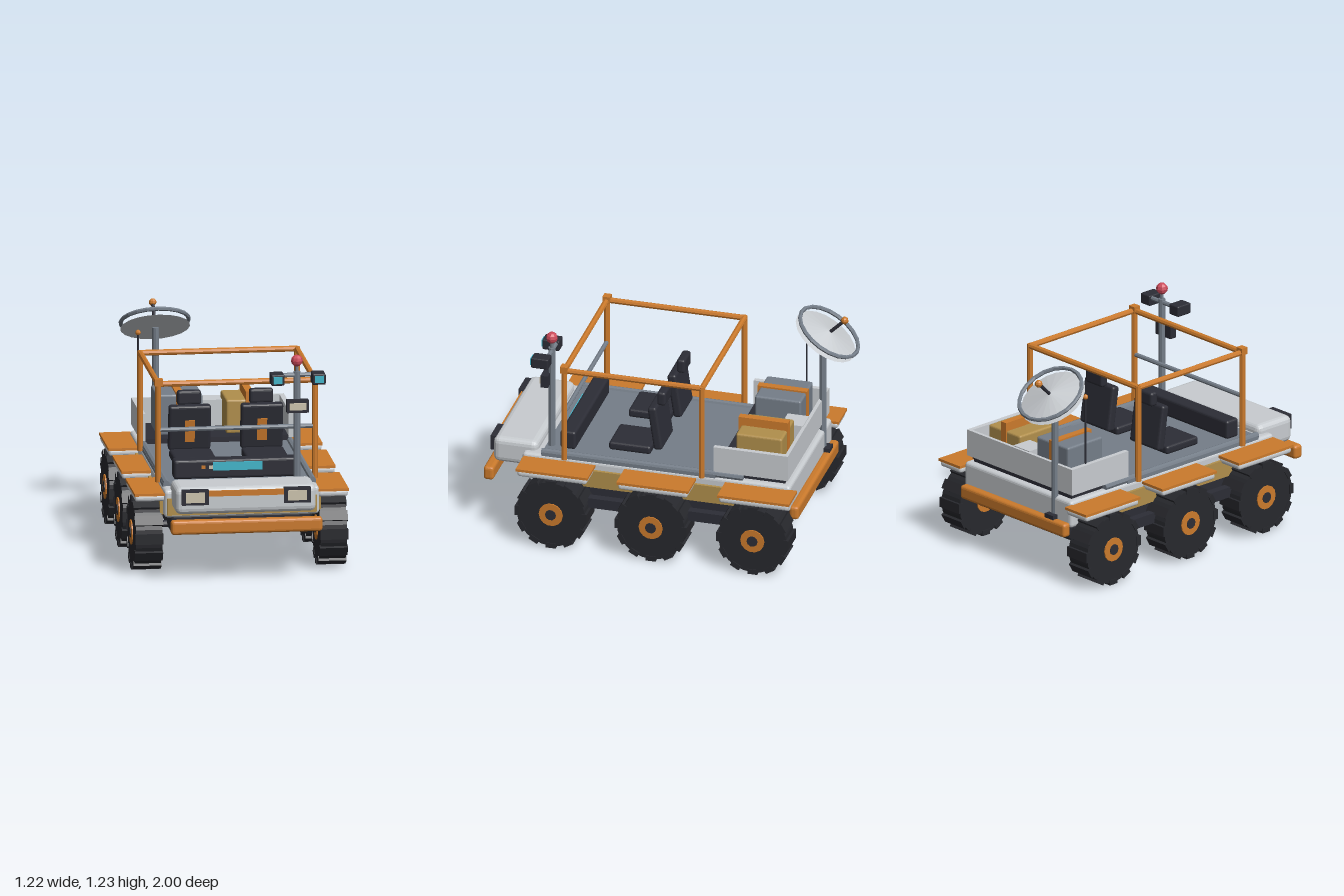
import * as THREE from 'three';
import { RoundedBoxGeometry } from 'three/addons/geometries/RoundedBoxGeometry.js';

const paint = (name, hex) => {
  const m = new THREE.MeshStandardMaterial({ color: hex, flatShading: true });
  m.name = name;
  return m;
};

export function createModel() {
  const white = paint('white', 0xc8ccd0), orange = paint('orange', 0xcb7a2c), grey = paint('grey', 0x757e89);
  const dark = paint('charcoal', 0x2c2d36), rubber = paint('rubber', 0x27282d), gold = paint('gold', 0xb18f4c);
  const cyan = paint('cyan', 0x42b6cb), beige = paint('beige', 0xcdc4ae), red = paint('red', 0xcc4a5a);
  const rover = new THREE.Group();
  rover.name = 'rover';

  const add = (name, geo, mat, x = 0, y = 0, z = 0, parent = rover) => {
    const m = new THREE.Mesh(geo, mat);
    m.name = name;
    m.position.set(x, y, z);
    parent.add(m);
    return m;
  };
  // Box given by its extents on each axis, with optional rounded edges
  const box = (name, mat, [x0, x1], [y0, y1], [z0, z1], r = 0, parent = rover) => {
    const s = [x1 - x0, y1 - y0, z1 - z0];
    const geo = r ? new RoundedBoxGeometry(...s, 2, r) : new THREE.BoxGeometry(...s);
    return add(name, geo, mat, (x0 + x1) / 2, (y0 + y1) / 2, (z0 + z1) / 2, parent);
  };
  // Round bar between two points
  const bar = (name, mat, a, b, r, sides = 8) => {
    const p = new THREE.Vector3(...a), q = new THREE.Vector3(...b), d = q.clone().sub(p);
    const m = add(name, new THREE.CylinderGeometry(r, r, d.length(), sides), mat);
    m.position.copy(p).add(q).multiplyScalar(0.5);
    m.quaternion.setFromUnitVectors(new THREE.Vector3(0, 1, 0), d.normalize());
    return m;
  };

  // Chassis
  box('underbelly', dark, [-0.4, 0.4], [0.235, 0.345], [-0.76, 0.72], 0.02);
  box('chassis', white, [-0.44, 0.44], [0.335, 0.495], [-0.8, 0.77], 0.02);
  for (const s of [-1, 1]) box('sidePanel', gold, [s * 0.447 - 0.01, s * 0.447 + 0.01], [0.34, 0.445], [-0.72, 0.7]);
  box('frontPanel', gold, [-0.425, 0.425], [0.35, 0.447], [0.76, 0.778]);
  box('deck', grey, [-0.435, 0.435], [0.485, 0.51], [-0.36, 0.655]);
  for (const s of [-1, 1]) bar('sideRail', grey, [s * 0.415, 0.507, -0.52], [s * 0.415, 0.507, 0.66], 0.02);

  // Nose, headlights and bumpers
  box('nose', white, [-0.4, 0.4], [0.39, 0.545], [0.69, 0.953], 0.035);
  box('noseStripe', orange, [-0.215, 0.215], [0.495, 0.528], [0.948, 0.957]);
  for (const s of [-1, 1]) {
    box('headlightFrame', dark, [s * 0.29 - 0.076, s * 0.29 + 0.076], [0.45, 0.537], [0.94, 0.974]);
    box('headlightLens', beige, [s * 0.29 - 0.054, s * 0.29 + 0.054], [0.465, 0.523], [0.972, 0.98]);
  }
  box('frontBumper', orange, [-0.43, 0.43], [0.285, 0.367], [0.94, 1.0], 0.018);
  box('rearBumper', orange, [-0.43, 0.43], [0.285, 0.367], [-0.845, -0.79], 0.018);

  // Wheels with cleats, hubs, fenders and rocker beams
  const tyreGeo = new THREE.CylinderGeometry(0.2, 0.2, 0.15, 24).rotateZ(Math.PI / 2);
  const hubGeo = new THREE.CylinderGeometry(0.07, 0.07, 0.164, 14).rotateZ(Math.PI / 2);
  const capGeo = new THREE.CylinderGeometry(0.032, 0.032, 0.172, 10).rotateZ(Math.PI / 2);
  const cleatGeo = new THREE.BoxGeometry(0.16, 0.03, 0.058);
  for (const s of [-1, 1]) {
    for (const z of [0.555, -0.03, -0.625]) {
      const wheel = new THREE.Group();
      wheel.name = 'wheel';
      wheel.position.set(s * 0.525, 0.212, z);
      rover.add(wheel);
      add('tyre', tyreGeo, rubber, 0, 0, 0, wheel);
      add('hub', hubGeo, orange, 0, 0, 0, wheel);
      add('hubCap', capGeo, dark, 0, 0, 0, wheel);
      for (let i = 0; i < 12; i++) {
        const a = (i / 12) * Math.PI * 2;
        add('cleat', cleatGeo, rubber, 0, Math.cos(a) * 0.196, Math.sin(a) * 0.196, wheel).rotation.x = a;
      }
      bar('axle', dark, [s * 0.38, 0.255, z], [s * 0.46, 0.255, z], 0.02);
    }
    for (const z of [0.55, -0.04, -0.63]) {
      box('fender', white, [s * 0.52 - 0.085, s * 0.52 + 0.085], [0.428, 0.465], [z - 0.203, z + 0.203], 0.015);
      box('fenderTop', orange, [s * 0.52 - 0.088, s * 0.52 + 0.088], [0.461, 0.476], [z - 0.21, z + 0.21]);
    }
    box('rockerBeam', dark, [s * 0.49 - 0.024, s * 0.49 + 0.024], [0.24, 0.3], [-0.625, 0.555]);
  }

  // Seats
  for (const x of [-0.205, 0.205]) {
    box('seatCushion', dark, [x - 0.12, x + 0.12], [0.522, 0.572], [0.05, 0.295], 0.015);
    const back = new THREE.Group();
    back.name = 'seatBack';
    back.position.set(x, 0.69, 0.025);
    back.rotation.x = 0.15;
    rover.add(back);
    box('backrest', dark, [-0.12, 0.12], [-0.132, 0.132], [-0.026, 0.026], 0.015, back);
    box('seatStripe', orange, [-0.028, 0.028], [-0.08, 0.05], [0.022, 0.03], 0, back);
    box('headrest', dark, [x - 0.068, x + 0.068], [0.815, 0.898], [-0.022, 0.028], 0.015);
  }

  // Dashboard
  box('dashboard', dark, [-0.362, 0.358], [0.51, 0.62], [0.48, 0.57], 0.015);
  box('dashScreen', cyan, [-0.14, 0.14], [0.558, 0.606], [0.568, 0.577]);
  box('dashButton', orange, [-0.206, -0.184], [0.568, 0.588], [0.568, 0.576]);
  box('dashSwitch', beige, [-0.162, -0.135], [0.568, 0.588], [0.568, 0.576]);

  // Roll cage
  const cx = 0.445, zf = 0.52, zb = -0.285, top = 1.055;
  for (const s of [-1, 1]) {
    for (const z of [zf, zb]) bar('cagePost', orange, [s * cx, 0.49, z], [s * cx, top + 0.012, z], 0.017);
    bar('cageSideBar', orange, [s * cx, top, zb], [s * cx, top, zf], 0.017);
    box('cageJoint', orange, [s * 0.443 - 0.023, s * 0.443 + 0.023], [1.045, 1.085], [0.497, 0.54]);
  }
  for (const z of [zf, zb]) bar('cageCrossBar', orange, [-cx, top, z], [cx, top, z], 0.017);
  bar('handRail', grey, [-cx, 0.79, zf], [cx, 0.79, zf], 0.013);

  // Cargo bed, open towards the seats
  box('bedFloor', dark, [-0.405, 0.405], [0.515, 0.54], [-0.77, -0.355]);
  for (const s of [-1, 1]) box('bedSide', white, [s * 0.42 - 0.014, s * 0.42 + 0.014], [0.53, 0.685], [-0.785, -0.35]);
  box('bedRear', white, [-0.42, 0.42], [0.53, 0.685], [-0.785, -0.765]);
  box('bedRiser', dark, [-0.4, 0.4], [0.48, 0.53], [-0.76, -0.36]);
  box('greyCase', grey, [-0.33, -0.07], [0.535, 0.77], [-0.72, -0.45], 0.012);
  box('goldCrate', gold, [0.065, 0.325], [0.535, 0.73], [-0.72, -0.45], 0.012);
  box('whiteCase', white, [-0.065, 0.065], [0.535, 0.69], [-0.77, -0.645]);
  for (const x of [-0.2, 0.195]) box('cargoStrap', orange, [x - 0.021, x + 0.021], [0.535, 0.78], [-0.725, -0.435]);

  // Lamp mast
  const mx = 0.33, mz = 0.625;
  bar('lampMast', grey, [mx, 0.49, mz], [mx, 1.13, mz], 0.02);
  bar('lampArm', grey, [0.21, 1.11, mz], [0.45, 1.11, mz], 0.013);
  add('beacon', new THREE.SphereGeometry(0.034, 8, 6), red, mx, 1.192, mz);
  bar('beaconStem', grey, [mx, 1.12, mz], [mx, 1.17, mz], 0.01);
  for (const x of [0.213, 0.447]) {
    box('mastLamp', dark, [x - 0.038, x + 0.038], [1.065, 1.128], [0.604, 0.705], 0.008);
    box('mastLampLens', cyan, [x - 0.025, x + 0.025], [1.078, 1.118], [0.703, 0.712]);
  }
  box('workLamp', dark, [0.268, 0.392], [0.9, 0.973], [0.632, 0.675]);
  box('workLampLens', beige, [0.283, 0.378], [0.917, 0.957], [0.674, 0.683]);

  // Dish on its rear mast
  const dx = -0.295;
  bar('dishMast', grey, [dx, 0.36, -0.787], [dx, 1.085, -0.787], 0.02);
  box('dishMastFoot', dark, [dx - 0.035, dx + 0.035], [0.345, 0.39], [-0.835, -0.775]);
  const dish = new THREE.Group();
  dish.name = 'dish';
  dish.position.set(dx, 1.085, -0.802);
  dish.rotation.x = -0.577;
  rover.add(dish);
  add('dishPlate', new THREE.ConeGeometry(0.198, 0.05, 20), white, 0, 0.025, 0, dish);
  add('dishRim', new THREE.TorusGeometry(0.193, 0.012, 6, 20).rotateX(Math.PI / 2), grey, 0, 0.038, 0, dish);
  bar('dishFeed', dark, [dx, 1.115, -0.825], [dx, 1.203, -0.914], 0.01);
  add('dishFeedTip', new THREE.SphereGeometry(0.022, 8, 6), orange, dx, 1.203, -0.914);

  // Whip antenna
  bar('antenna', dark, [-0.41, 0.67, -0.66], [-0.41, 1.085, -0.66], 0.005, 6);
  add('antennaTip', new THREE.SphereGeometry(0.016, 8, 6), orange, -0.41, 1.088, -0.66);

  return rover;
}
